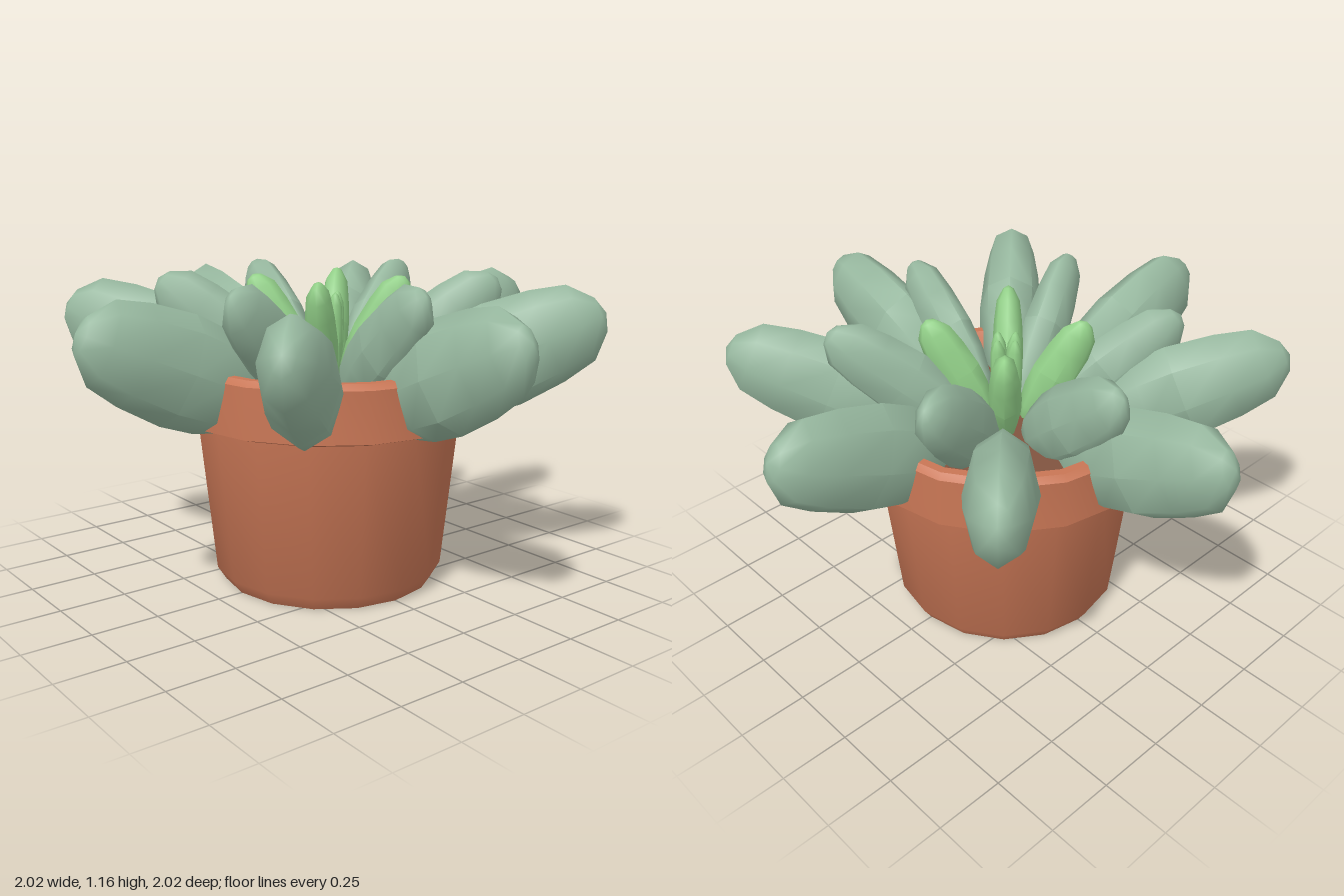
import * as THREE from 'three';
import { toCreasedNormals } from 'three/addons/utils/BufferGeometryUtils.js';

const material = (name, color) => {
  const m = new THREE.MeshStandardMaterial({ color });
  m.name = name;
  return m;
};

const lathe = (points, sides, crease) => toCreasedNormals(
  new THREE.LatheGeometry(points.map(([r, y]) => new THREE.Vector2(r, y)), sides), crease);

export function createModel() {
  const model = new THREE.Group();
  model.name = 'pottedSucculent';

  const terracotta = material('terracotta', 0xc87655);
  const soilBrown = material('soilBrown', 0x80543f);
  const sage = material('sageGreen', 0x98b9a0);
  const fresh = material('freshGreen', 0x94d28a);

  // Pot: tapered wall, overhanging rim, sloping inner wall
  const pot = new THREE.Mesh(lathe([
    [0, 0], [0.4, 0], [0.432, 0.05], [0.49, 0.62], [0.555, 0.64],
    [0.55, 0.82], [0.53, 0.84], [0.5, 0.84], [0.485, 0.82], [0.42, 0.72],
  ], 16, 0.6), terracotta);
  pot.name = 'pot';
  model.add(pot);

  // Soil
  const soil = new THREE.Mesh(new THREE.CylinderGeometry(0.435, 0.43, 0.04, 16), soilBrown);
  soil.name = 'soil';
  soil.position.y = 0.73;
  model.add(soil);

  // Unit leaf: plump, eight-sided, ridged along the top and bottom
  const leafGeometry = lathe([
    [0, 0], [0.45, 0.05], [0.75, 0.16], [0.95, 0.33], [1, 0.5],
    [0.9, 0.72], [0.74, 0.88], [0.33, 0.975], [0, 1],
  ], 8, 0.95);

  // A ring of leaves; base and tip are [distance from the middle, height]
  const addRing = (name, count, startDegrees, base, tip, halfWidth, halfDepth, mat) => {
    const ring = new THREE.Group();
    ring.name = name + 'Ring';
    const dr = tip[0] - base[0], dy = tip[1] - base[1];
    for (let i = 0; i < count; i++) {
      const arm = new THREE.Group();
      arm.name = name;
      arm.rotation.y = THREE.MathUtils.degToRad(startDegrees) + (i / count) * Math.PI * 2;
      const leaf = new THREE.Mesh(leafGeometry, mat);
      leaf.name = name + 'Blade';
      leaf.position.set(base[0], base[1], 0);
      leaf.rotation.z = -Math.atan2(dr, dy);
      leaf.scale.set(halfDepth, Math.hypot(dr, dy), halfWidth);
      arm.add(leaf);
      ring.add(arm);
    }
    model.add(ring);
  };

  addRing('outerLeaf', 8, 0, [0.27, 0.7], [1.0, 1.02], 0.125, 0.2, sage);
  addRing('middleLeaf', 6, 22.5, [0.13, 0.71], [0.62, 1.13], 0.085, 0.135, sage);
  addRing('innerLeaf', 4, 45, [0.07, 0.72], [0.28, 1.14], 0.058, 0.085, fresh);
  addRing('budLeaf', 4, 0, [0.015, 0.72], [0.045, 1.08], 0.032, 0.036, fresh);

  return model;
}
